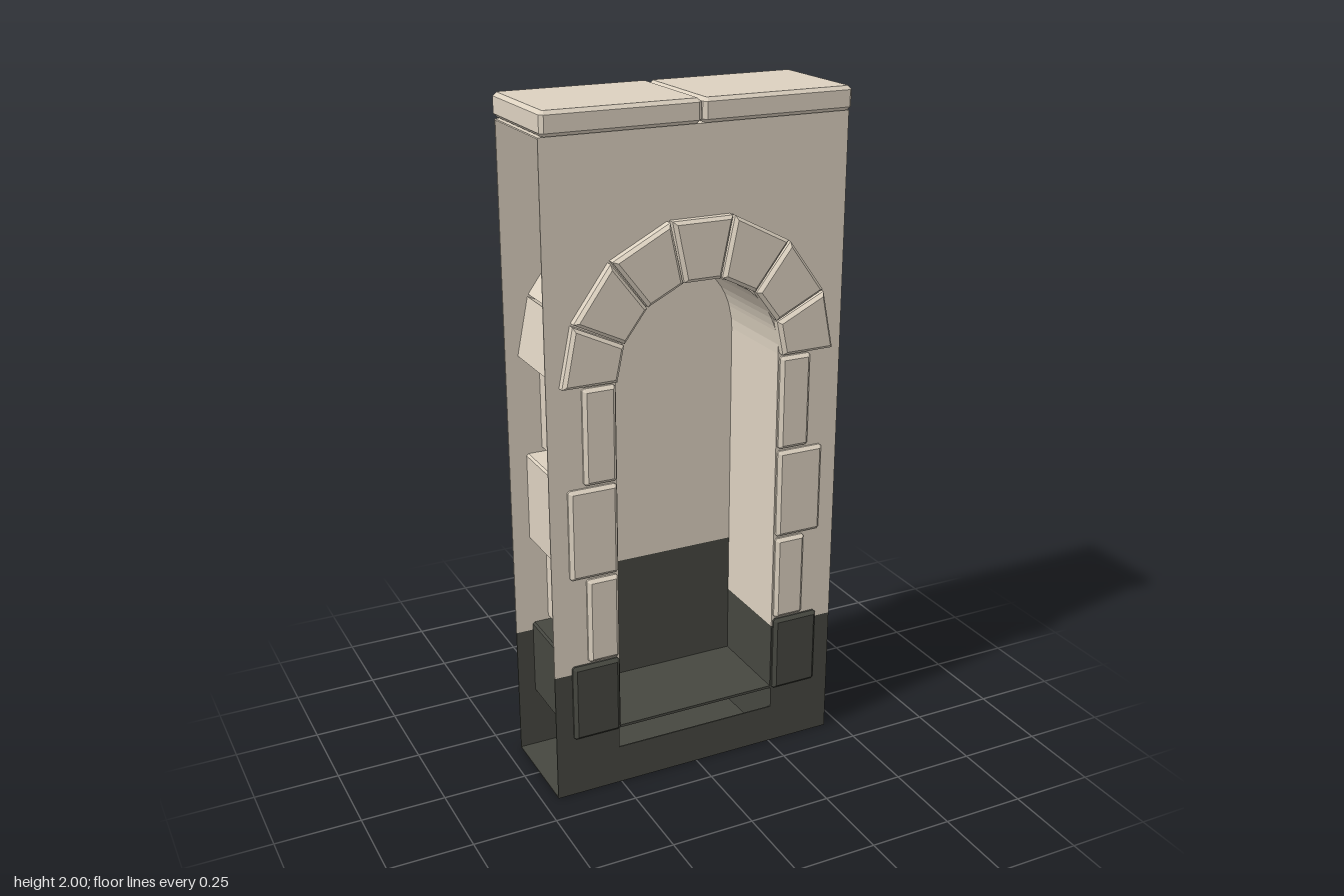
import * as THREE from 'three';

const stoneMat = new THREE.MeshStandardMaterial({ name: 'paleStone', color: 0xdcd1c0 });
const baseMat = new THREE.MeshStandardMaterial({ name: 'darkStone', color: 0x464740 });

const HALF_W = 0.453, HALF_D = 0.152, WALL_TOP = 1.93, DARK_TOP = 0.4;
const DOOR = 0.255, SILL = 0.12, SPRING = 1.265, SKIN = 0.004;

// Up the right jamb, round the arch and down the left jamb
function archPoints(r, bottom, segments = 28) {
  const pts = [[r, bottom]];
  for (let i = 0; i <= segments; i++) {
    const a = (i / segments) * Math.PI;
    pts.push([r * Math.cos(a), SPRING + r * Math.sin(a)]);
  }
  pts.push([-r, bottom]);
  return pts;
}

// Outline extruded along z and centred on it, with an optional chamfer
function slab(points, depth, bevel = 0) {
  const shape = new THREE.Shape(points.map(([x, y]) => new THREE.Vector2(x, y)));
  const geo = new THREE.ExtrudeGeometry(shape, {
    depth: depth - 2 * bevel, bevelEnabled: bevel > 0, bevelSegments: 1,
    bevelSize: bevel, bevelThickness: bevel, bevelOffset: -bevel,
  });
  return geo.translate(0, 0, bevel - depth / 2);
}

const rect = (x0, y0, x1, y1) => [[x0, y0], [x1, y0], [x1, y1], [x0, y1]];

function cutRect(x0, y0, x1, y1, c) {
  return [[x0 + c, y0], [x1 - c, y0], [x1, y0 + c], [x1, y1 - c],
    [x1 - c, y1], [x0 + c, y1], [x0, y1 - c], [x0, y0 + c]];
}

export function createModel() {
  const model = new THREE.Group();
  model.name = 'archedWall';

  function add(name, geo, mat, x = 0, y = 0, z = 0) {
    const mesh = new THREE.Mesh(geo, mat);
    mesh.name = name;
    mesh.position.set(x, y, z);
    model.add(mesh);
  }

  // Front and back wall skins, each with a dark base and the doorway cut out
  const lower = [[-HALF_W, 0], [HALF_W, 0], [HALF_W, DARK_TOP], [DOOR, DARK_TOP], [DOOR, SILL],
    [-DOOR, SILL], [-DOOR, DARK_TOP], [-HALF_W, DARK_TOP]];
  const upper = [[HALF_W, DARK_TOP], [HALF_W, WALL_TOP], [-HALF_W, WALL_TOP], [-HALF_W, DARK_TOP],
    ...archPoints(DOOR, DARK_TOP).reverse()];
  for (const [side, s] of [['front', 1], ['back', -1]]) {
    const z = s * (HALF_D - SKIN / 2);
    add(side + 'WallBase', slab(lower, SKIN), baseMat, 0, 0, z);
    add(side + 'Wall', slab(upper, SKIN), stoneMat, 0, 0, z);
  }

  // Wall bottom and top
  add('wallBottom', new THREE.BoxGeometry(2 * HALF_W, SKIN, 2 * HALF_D), baseMat, 0, SKIN / 2);
  add('wallTop', new THREE.BoxGeometry(2 * HALF_W, SKIN, 2 * HALF_D), stoneMat, 0, WALL_TOP);

  // Upright core walls beside the doorway, set in from the open wall ends
  for (const s of [1, -1]) {
    for (const [y0, y1, mat] of [[0, DARK_TOP, baseMat], [DARK_TOP, WALL_TOP, stoneMat]]) {
      add('coreWall', new THREE.BoxGeometry(SKIN, y1 - y0, 2 * HALF_D - SKIN), mat,
        s * (DOOR + SKIN / 2), (y0 + y1) / 2);
    }
  }

  // Doorway lining
  const lining = [...archPoints(DOOR, DARK_TOP), ...archPoints(DOOR - SKIN, DARK_TOP).reverse()];
  add('doorwayLining', slab(lining, 2 * HALF_D), stoneMat);
  for (const s of [1, -1]) {
    add('doorwayLiningBase', new THREE.BoxGeometry(SKIN, DARK_TOP - 0.19, 2 * HALF_D), baseMat,
      s * (DOOR - SKIN / 2), (DARK_TOP + 0.19) / 2);
  }

  // Niche floor and back panel
  add('nicheFloor', new THREE.BoxGeometry(2 * DOOR, 0.008, 2 * HALF_D), baseMat, 0, 0.19);
  add('nicheBackBase', slab(rect(-DOOR, 0.19, DOOR, 0.58), SKIN), baseMat, 0, 0, -0.125);
  add('nicheBack', slab(archPoints(DOOR, 0.58), SKIN), stoneMat, 0, 0, -0.125);

  // Jamb stones, alternating wide and narrow: bottom, top, outer edge
  const jambs = [[0.188, 0.425, 0.4], [0.432, 0.692, 0.35], [0.7, 0.97, 0.4], [0.978, 1.258, 0.352]];
  for (const s of [1, -1]) {
    jambs.forEach(([y0, y1, outer], i) => {
      const xs = [s * DOOR, s * outer].sort((a, b) => a - b);
      add('jambStone', slab(cutRect(xs[0], y0, xs[1], y1, 0.006), 0.336, 0.01),
        i === 0 ? baseMat : stoneMat);
    });
  }

  // Ring of seven wedge stones, between joints given in degrees
  const joints = [0, 24, 50, 77, 103, 130, 156, 180].map(THREE.MathUtils.degToRad);
  const gap = 0.008;
  const at = (rx, ry, a) => [rx * Math.cos(a), SPRING + ry * Math.sin(a)];
  for (let i = 0; i < 7; i++) {
    const a0 = joints[i] + gap, a1 = joints[i + 1] - gap;
    const wedge = [at(DOOR, 0.257, a0), at(0.415, 0.431, a0), at(0.415, 0.431, a1), at(DOOR, 0.257, a1)];
    add('archStone', slab(wedge, 0.364, 0.01), stoneMat);
  }

  // Two chamfered capstones
  for (const s of [1, -1]) {
    const geo = slab(cutRect(-0.2255, -0.171, 0.2255, 0.171, 0.01), 0.066, 0.01);
    geo.rotateX(-Math.PI / 2);
    add('capstone', geo, stoneMat, s * 0.2275, 1.967);
  }

  return model;
}
